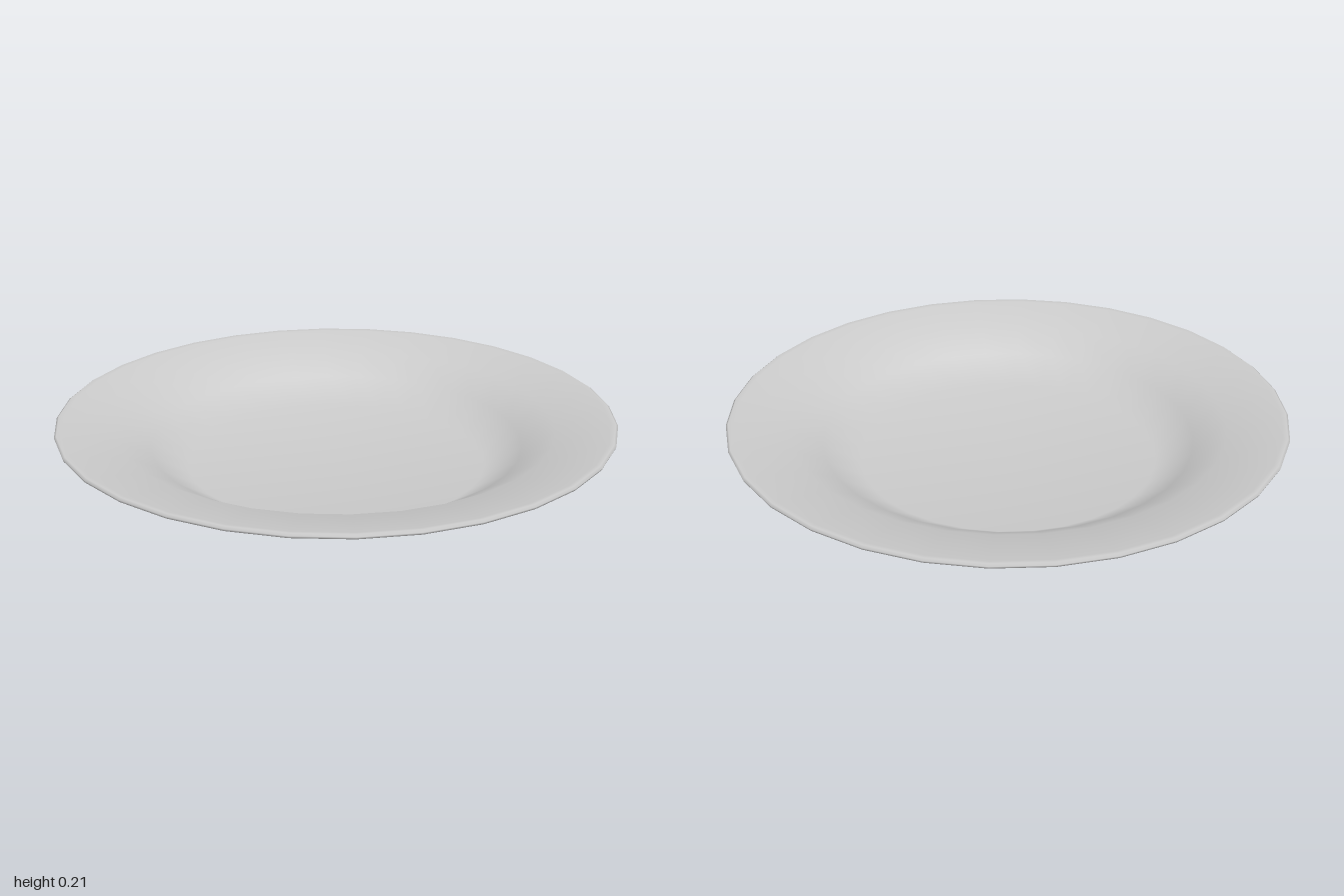
import * as THREE from 'three';

// Closed plate profile (radius, height): underside outward, over the lip, back to the centre
const profile = [
  [0, 0], [0.3, 0], [0.54, 0],          // base
  [0.557, 0.032],                       // foot
  [0.67, 0.094], [0.785, 0.157],        // outer wall
  [0.975, 0.189], [0.997, 0.196],       // underside of rim
  [1, 0.204], [0.992, 0.21], [0.975, 0.207], // rounded lip
  [0.785, 0.173], [0.67, 0.106],        // top of rim, inner wall
  [0.54, 0.023], [0, 0.023],            // well floor
];

export function createModel() {
  const group = new THREE.Group();
  group.name = 'plate';

  const points = profile.map(([r, y]) => new THREE.Vector2(r, y));
  const dish = new THREE.Mesh(
    new THREE.LatheGeometry(points, 32),
    new THREE.MeshStandardMaterial({ color: 0xcccccc })
  );
  dish.name = 'dish';
  group.add(dish);

  return group;
}
